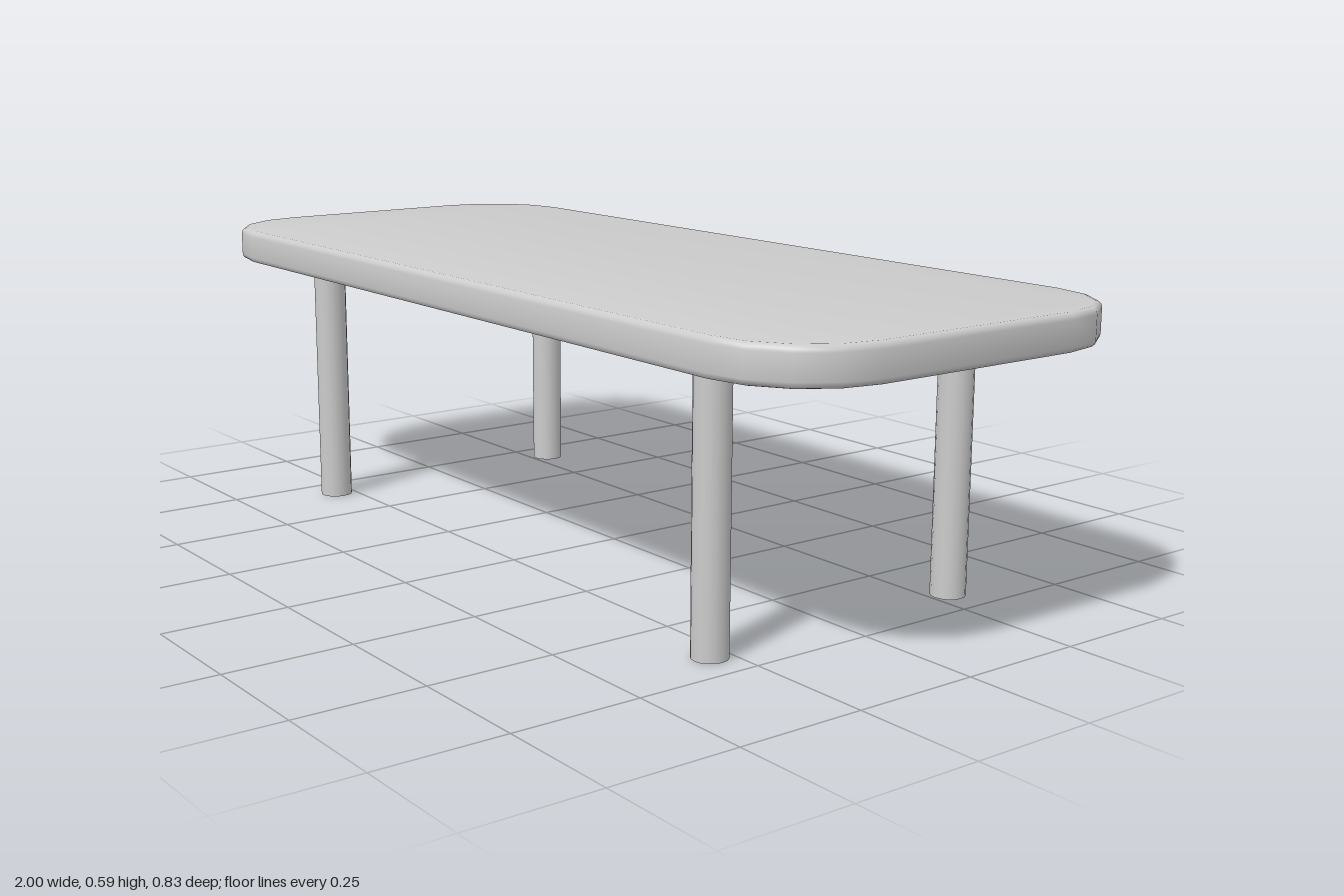
import * as THREE from 'three';
import { toCreasedNormals } from 'three/addons/utils/BufferGeometryUtils.js';

const HALF_X = 1, HALF_Z = 0.415, CORNER = 0.2, BEVEL = 0.012;
const TOP_Y = 0.592, UNDER_Y = 0.522;
const LEG_X = 0.67, LEG_Z = 0.29, LEG_R = 0.034;

// Rounded rectangle, inset so that the bevel grows it to full size
function roundedOutline() {
  const r = CORNER - BEVEL, cx = HALF_X - CORNER, cz = HALF_Z - CORNER;
  const shape = new THREE.Shape();
  [[1, 1], [-1, 1], [-1, -1], [1, -1]].forEach(([sx, sz], i) =>
    shape.absarc(sx * cx, sz * cz, r, i * Math.PI / 2, (i + 1) * Math.PI / 2, false));
  return shape;
}

export function createModel() {
  const group = new THREE.Group();
  group.name = 'table';
  const material = new THREE.MeshStandardMaterial({ color: 0xcccccc });
  const legMaterial = new THREE.MeshStandardMaterial({ color: 0xcccccc, side: THREE.DoubleSide });

  // Tabletop slab with softened edges
  const slab = new THREE.ExtrudeGeometry(roundedOutline(), {
    depth: TOP_Y - UNDER_Y - 2 * BEVEL,
    bevelEnabled: true, bevelSize: BEVEL, bevelThickness: BEVEL,
    bevelSegments: 3, curveSegments: 2,
  });
  slab.rotateX(-Math.PI / 2);
  slab.translate(0, UNDER_Y + BEVEL, 0);
  const tabletop = new THREE.Mesh(toCreasedNormals(slab, 0.7), material);
  tabletop.name = 'tabletop';
  group.add(tabletop);

  // Four open tubular legs
  const legHeight = UNDER_Y + 0.002;
  const legGeometry = new THREE.CylinderGeometry(LEG_R, LEG_R, legHeight, 16, 1, true);
  for (const sx of [1, -1]) {
    for (const sz of [1, -1]) {
      const leg = new THREE.Mesh(legGeometry, legMaterial);
      leg.name = `${sz > 0 ? 'front' : 'back'}${sx > 0 ? 'Left' : 'Right'}Leg`;
      leg.position.set(sx * LEG_X, legHeight / 2, sz * LEG_Z);
      group.add(leg);
    }
  }
  return group;
}
